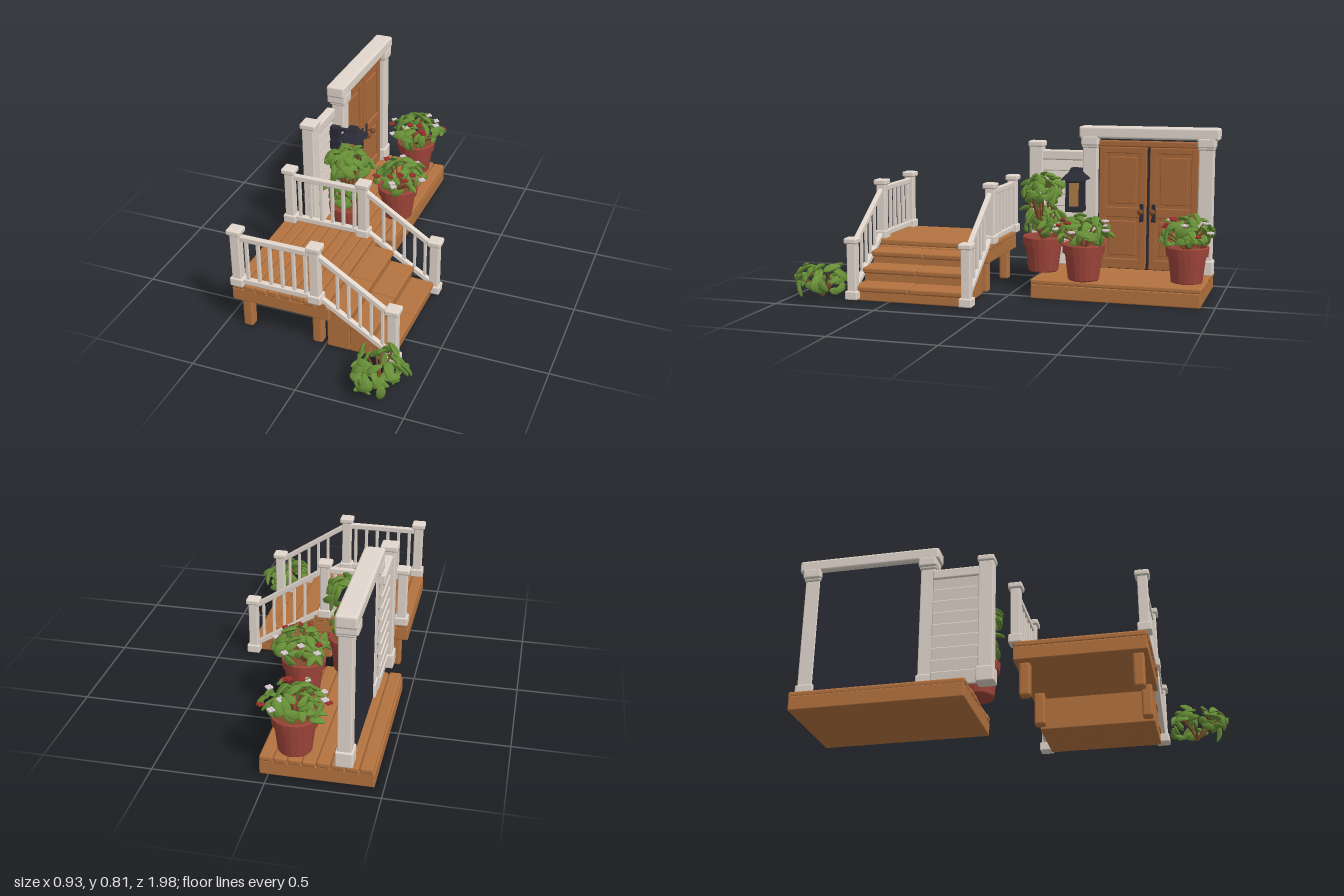
import * as THREE from 'three';
import { mergeGeometries } from 'three/addons/utils/BufferGeometryUtils.js';
import { RoundedBoxGeometry } from 'three/addons/geometries/RoundedBoxGeometry.js';

const material = (name, color) => {
  const m = new THREE.MeshStandardMaterial({ color });
  m.name = name;
  return m;
};

export function createModel() {
  const wood = material('deck wood', 0xb3723f);
  const doorWood = material('door wood', 0xa9683a);
  const paint = material('white paint', 0xe2d7cd);
  const dark = material('dark metal', 0x2a2b36);
  const clay = material('terracotta', 0x9f453a);
  const green = material('leaf green', 0x678f37);
  const bark = material('stem brown', 0x7d4b2b);
  const red = material('red petal', 0x9c302c);
  const pale = material('pale petal', 0xd9cdd3);
  const amber = material('lantern glass', 0xb07c48);

  const model = new THREE.Group();
  let seed = 7;
  const rnd = () => (seed = (seed * 16807) % 2147483647) / 2147483647;
  const spread = (a) => (rnd() * 2 - 1) * a;

  const group = (name) => {
    const g = new THREE.Group();
    g.name = name;
    model.add(g);
    return g;
  };
  const add = (parent, name, geo, mat, x = 0, y = 0, z = 0) => {
    const m = new THREE.Mesh(geo, mat);
    m.name = name;
    m.position.set(x, y, z);
    parent.add(m);
    return m;
  };
  // bevelled box given by its limits
  const box = (parent, name, mat, x0, x1, y0, y1, z0, z1, r = 0.006) => {
    const w = x1 - x0, h = y1 - y0, d = z1 - z0;
    const geo = new RoundedBoxGeometry(w, h, d, 2, Math.min(r, w * 0.45, h * 0.45, d * 0.45));
    return add(parent, name, geo, mat, (x0 + x1) / 2, (y0 + y1) / 2, (z0 + z1) / 2);
  };
  const block = (parent, name, mat, x, z, w, d, y0, y1, r) =>
    box(parent, name, mat, x - w / 2, x + w / 2, y0, y1, z - d / 2, z + d / 2, r);
  // row of planks running along z
  const planks = (parent, x0, x1, n, y0, y1, z0, z1) => {
    const w = (x1 - x0) / n;
    for (let i = 0; i < n; i++) {
      box(parent, 'plank', wood, x0 + i * w + 0.001, x0 + (i + 1) * w - 0.001,
        y0, y1 + spread(0.002), z0 + spread(0.004), z1 + spread(0.004), 0.01);
    }
  };

  // Raised deck
  const deck = group('raisedDeck');
  box(deck, 'deckFrame', wood, -0.45, 0.03, 0.155, 0.221, 0.095, 0.685);
  planks(deck, -0.45, 0.022, 8, 0.218, 0.25, 0.09, 0.69);
  for (const x of [-0.39, -0.04]) for (const z of [0.14, 0.64])
    block(deck, 'deckLeg', wood, x, z, 0.05, 0.05, 0, 0.16, 0.012);

  // Solid stairs with split treads
  const stairs = group('stairs');
  [[0.01, 0.12, 0.21], [0.12, 0.225, 0.145], [0.225, 0.325, 0.075]].forEach(([x0, x1, y]) => {
    box(stairs, 'stepBody', wood, x0, x1, 0, y - 0.015, 0.13, 0.665);
    for (const [z0, z1] of [[0.125, 0.395], [0.398, 0.67]]) {
      const tread = box(stairs, 'tread', wood, x0 - 0.005, x1 + 0.012, y - 0.028, y + 0.002, z0, z1, 0.01);
      tread.rotation.z = -0.05;
      tread.rotation.x = spread(0.008);
    }
  });

  // Railings, one on each side of deck and stairs
  const bar = (parent, name, x0, y0, x1, y1, z, t) => {
    const len = Math.hypot(x1 - x0, y1 - y0);
    const m = block(parent, name, paint, 0, 0, len, t, -t / 2, t / 2, 0.004);
    m.position.set((x0 + x1) / 2, (y0 + y1) / 2, z);
    m.rotation.z = Math.atan2(y1 - y0, x1 - x0);
  };
  for (const z of [0.104, 0.676]) {
    const rail = group('railing');
    for (const [x, y0, y1] of [[-0.415, 0.245, 0.545], [-0.033, 0.245, 0.545], [0.333, 0.008, 0.306]]) {
      block(rail, 'post', paint, x, z, 0.045, 0.045, y0, y1 - 0.01, 0.005);
      block(rail, 'postBase', paint, x, z, 0.064, 0.062, y0, y0 + 0.042);
      block(rail, 'postCap', paint, x, z, 0.068, 0.066, y1 - 0.028, y1, 0.008);
    }
    bar(rail, 'topRail', -0.4, 0.497, -0.04, 0.497, z, 0.027);
    bar(rail, 'bottomRail', -0.4, 0.268, -0.04, 0.268, z, 0.027);
    for (let i = 0; i < 6; i++) {
      const x = -0.366 + i * 0.057;
      block(rail, 'baluster', paint, x, z, 0.016, 0.016, 0.27, 0.495, 0.003);
    }
    bar(rail, 'stairTopRail', -0.02, 0.49, 0.325, 0.263, z, 0.025);
    bar(rail, 'stairBottomRail', -0.02, 0.272, 0.325, 0.05, z, 0.025);
    for (let i = 0; i < 5; i++) {
      const x = 0.07 + i * 0.053, drop = (x + 0.02) * 0.65;
      block(rail, 'stairBaluster', paint, x, z, 0.014, 0.014, 0.27 - drop, 0.488 - drop, 0.003);
    }
  }

  // Low porch platform
  const porch = group('porch');
  box(porch, 'porchBase', wood, -0.46, 0.04, 0, 0.07, -0.935, -0.12);
  planks(porch, -0.455, 0.04, 8, 0.066, 0.095, -0.94, -0.12);

  // Door frame and siding
  const wall = group('wall');
  const column = (x, z, top, w) => {
    block(wall, 'column', paint, x, z, w, 0.07 * w / 0.06, 0.09, top, 0.006);
    block(wall, 'columnBase', paint, x, z, w + 0.016, w + 0.026, 0.09, 0.165, 0.008);
    block(wall, 'columnCap', paint, x, z, w + 0.02, w + 0.02, top - 0.03, top, 0.008);
  };
  column(-0.367, -0.042, 0.73, 0.06);
  column(-0.329, -0.33, 0.735, 0.062);
  column(-0.329, -0.905, 0.735, 0.062);
  for (const z of [-0.33, -0.905]) block(wall, 'capital', paint, -0.334, z, 0.098, 0.088, 0.715, 0.765, 0.01);
  box(wall, 'lintel', paint, -0.381, -0.287, 0.752, 0.812, -0.968, -0.275, 0.012);
  for (let i = 0; i < 9; i++) {
    const s = box(wall, 'sidingBoard', paint, -0.376, -0.358, 0.098 + i * 0.06, 0.166 + i * 0.06, -0.3, -0.06, 0.005);
    s.rotation.z = 0.12;
  }
  box(wall, 'sidingRail', paint, -0.388, -0.343, 0.635, 0.685, -0.3, -0.06, 0.008);

  // Double door with raised panels
  const doors = group('doubleDoor');
  box(doors, 'doorBack', dark, -0.356, -0.343, 0.095, 0.75, -0.88, -0.36, 0.002);
  box(doors, 'doorHeader', doorWood, -0.35, -0.312, 0.712, 0.742, -0.875, -0.365);
  for (const side of [-1, 1]) {
    const c = -0.62 + side * 0.127;
    const piece = (name, a, b, y0, y1, x1) => box(doors, name, doorWood, -0.345, x1, y0, y1, c + a, c + b, 0.004);
    piece('doorSlab', -0.117, 0.117, 0.1, 0.715, -0.331);
    piece('stile', -0.119, -0.085, 0.1, 0.71, -0.318);
    piece('stile', 0.085, 0.119, 0.1, 0.71, -0.318);
    for (const [y0, y1] of [[0.1, 0.15], [0.36, 0.41], [0.68, 0.71]]) piece('doorRail', -0.09, 0.09, y0, y1, -0.319);
    piece('lowerPanel', -0.068, 0.068, 0.168, 0.342, -0.322);
    piece('upperPanel', -0.068, 0.068, 0.428, 0.662, -0.322);
    const z = -0.62 + side * 0.03;
    box(doors, 'handlePlate', dark, -0.32, -0.312, 0.34, 0.43, z - 0.01, z + 0.01, 0.003);
    const stem = add(doors, 'knobStem', new THREE.CylinderGeometry(0.006, 0.006, 0.035, 10), bark, -0.297, 0.395, z);
    stem.rotation.z = Math.PI / 2;
    add(doors, 'knob', new THREE.SphereGeometry(0.015, 12, 8), bark, -0.28, 0.395, z);
  }

  // Wall lantern
  const lantern = group('lantern');
  const lx = -0.24, lz = -0.272;
  const pyramid = (name, r0, r1, y0, y1) => {
    const geo = new THREE.CylinderGeometry(r1 * Math.SQRT1_2, r0 * Math.SQRT1_2, y1 - y0, 4).toNonIndexed();
    geo.computeVertexNormals();
    add(lantern, name, geo, dark, lx, (y0 + y1) / 2, lz).rotation.y = Math.PI / 4;
  };
  box(lantern, 'wallPlate', dark, -0.36, -0.308, 0.47, 0.598, lz - 0.018, lz + 0.018, 0.004);
  box(lantern, 'arm', dark, -0.32, lx, 0.578, 0.595, lz - 0.008, lz + 0.008, 0.003);
  pyramid('roof', 0.125, 0.055, 0.552, 0.592);
  pyramid('roofTop', 0.055, 0.04, 0.592, 0.61);
  block(lantern, 'eave', dark, lx, lz, 0.088, 0.088, 0.538, 0.554, 0.003);
  block(lantern, 'glass', amber, lx, lz, 0.06, 0.06, 0.415, 0.54, 0.004);
  block(lantern, 'lanternBase', dark, lx, lz, 0.088, 0.088, 0.392, 0.42, 0.004);
  for (const a of [-1, 1]) for (const b of [-1, 1])
    block(lantern, 'cornerBar', dark, lx + a * 0.034, lz + b * 0.034, 0.016, 0.016, 0.41, 0.545, 0.002);

  // Pots
  const potProfile = [[0, 0], [0.07, 0], [0.075, 0.006], [0.09, 0.128], [0.1, 0.13], [0.104, 0.172],
    [0.1, 0.177], [0.09, 0.175], [0.086, 0.15], [0, 0.15]];
  const pot = (parent, x, z) => {
    const pts = potProfile.map(([r, y]) => new THREE.Vector2(r, y));
    const mesh = add(parent, 'pot', new THREE.LatheGeometry(pts, 20).toNonIndexed(), clay, x, 0.093, z);
    mesh.geometry.computeVertexNormals();
    add(parent, 'soil', new THREE.CylinderGeometry(0.086, 0.086, 0.006, 20), bark, x, 0.247, z);
  };

  // Thick pointed leaf lying along +y with its face to +z
  const leafShape = new THREE.SphereGeometry(1, 8, 6);
  const lp = leafShape.attributes.position;
  for (let i = 0; i < lp.count; i++) {
    const x = lp.getX(i), y = lp.getY(i), z = lp.getZ(i);
    const taper = 1 - 0.25 * y;
    lp.setXYZ(i, x * 0.018 * taper, y * 0.038, z * 0.009 + Math.abs(x) * 0.004 - y * y * 0.006);
  }
  leafShape.computeVertexNormals();

  // Loose leaves around ellipsoids, stems from the root, optional flowers
  const plant = (name, root, clumps, leafScale, flowers) => {
    const g = group(name);
    const leaves = [], stems = [], petals = { red: [], pale: [] };
    const origin = new THREE.Vector3(...root);
    for (const { c, r, n, low, high = 0.97 } of clumps) {
      const center = new THREE.Vector3(...c), radius = new THREE.Vector3(...r);
      const place = (u, a, k) => {
        const s = Math.sqrt(1 - u * u);
        const out = new THREE.Vector3(s * Math.cos(a), u, s * Math.sin(a));
        return [out, out.clone().multiply(radius).multiplyScalar(k).add(center)];
      };
      for (let i = 0; i < n; i++) {
        const u = low + (high - low) * (i + 0.5) / n;
        const [out, p] = place(u, i * 2.4 + spread(0.5), 0.55 + rnd() * 0.34);
        const normal = out.clone().add(new THREE.Vector3(spread(0.8), 0.4 + spread(0.5), spread(0.8))).normalize();
        const dir = out.clone().add(new THREE.Vector3(spread(0.9), spread(0.8), spread(0.9)));
        dir.addScaledVector(normal, -dir.dot(normal)).normalize();
        const m = new THREE.Matrix4().makeBasis(dir.clone().cross(normal), dir, normal);
        const size = leafScale * (0.8 + rnd() * 0.4);
        leaves.push(leafShape.clone().scale(size, size, size).applyMatrix4(m).translate(p.x, p.y, p.z));
        if (i % 4 === 0) {
          const mid = origin.clone().lerp(p, 0.5).add(new THREE.Vector3(0, 0.02, 0));
          stems.push(new THREE.TubeGeometry(new THREE.QuadraticBezierCurve3(origin, mid, p), 5, 0.0045, 5));
        }
      }
      for (let i = 0; i < flowers; i++) {
        const [, p] = place(0.1 + rnd() * 0.8, rnd() * 6.28, 0.9);
        const list = i % 2 ? petals.pale : petals.red;
        for (let k = 0; k < 4; k++) {
          const b = k * Math.PI / 2;
          list.push(new THREE.SphereGeometry(0.01, 6, 4).scale(1, 0.7, 1)
            .translate(p.x + Math.cos(b) * 0.01, p.y, p.z + Math.sin(b) * 0.01));
        }
      }
    }
    add(g, 'leaves', mergeGeometries(leaves), green);
    add(g, 'stems', mergeGeometries(stems), bark);
    if (flowers) {
      add(g, 'redFlowers', mergeGeometries(petals.red), red);
      add(g, 'paleFlowers', mergeGeometries(petals.pale), pale);
    }
    return g;
  };

  const tall = plant('tallPlant', [-0.2, 0.24, -0.12], [
    { c: [-0.2, 0.495, -0.115], r: [0.13, 0.1, 0.12], n: 65, low: -0.6 },
    { c: [-0.215, 0.355, -0.115], r: [0.125, 0.105, 0.12], n: 36, low: -0.8, high: 0.7 }], 1, 0);
  pot(tall, -0.2, -0.12);
  const near = plant('floweringPlant', [-0.03, 0.24, -0.365],
    [{ c: [-0.02, 0.325, -0.365], r: [0.15, 0.095, 0.15], n: 50, low: -0.6 }], 0.95, 12);
  pot(near, -0.03, -0.365);
  const far = plant('floweringPlant', [-0.1, 0.24, -0.85],
    [{ c: [-0.1, 0.325, -0.855], r: [0.165, 0.095, 0.15], n: 50, low: -0.6 }], 0.95, 12);
  pot(far, -0.1, -0.85);
  plant('groundBush', [0.33, 0.01, 0.84],
    [{ c: [0.325, 0.095, 0.845], r: [0.14, 0.1, 0.16], n: 46, low: -0.65, high: 0.8 }], 1, 0);

  return model;
}
